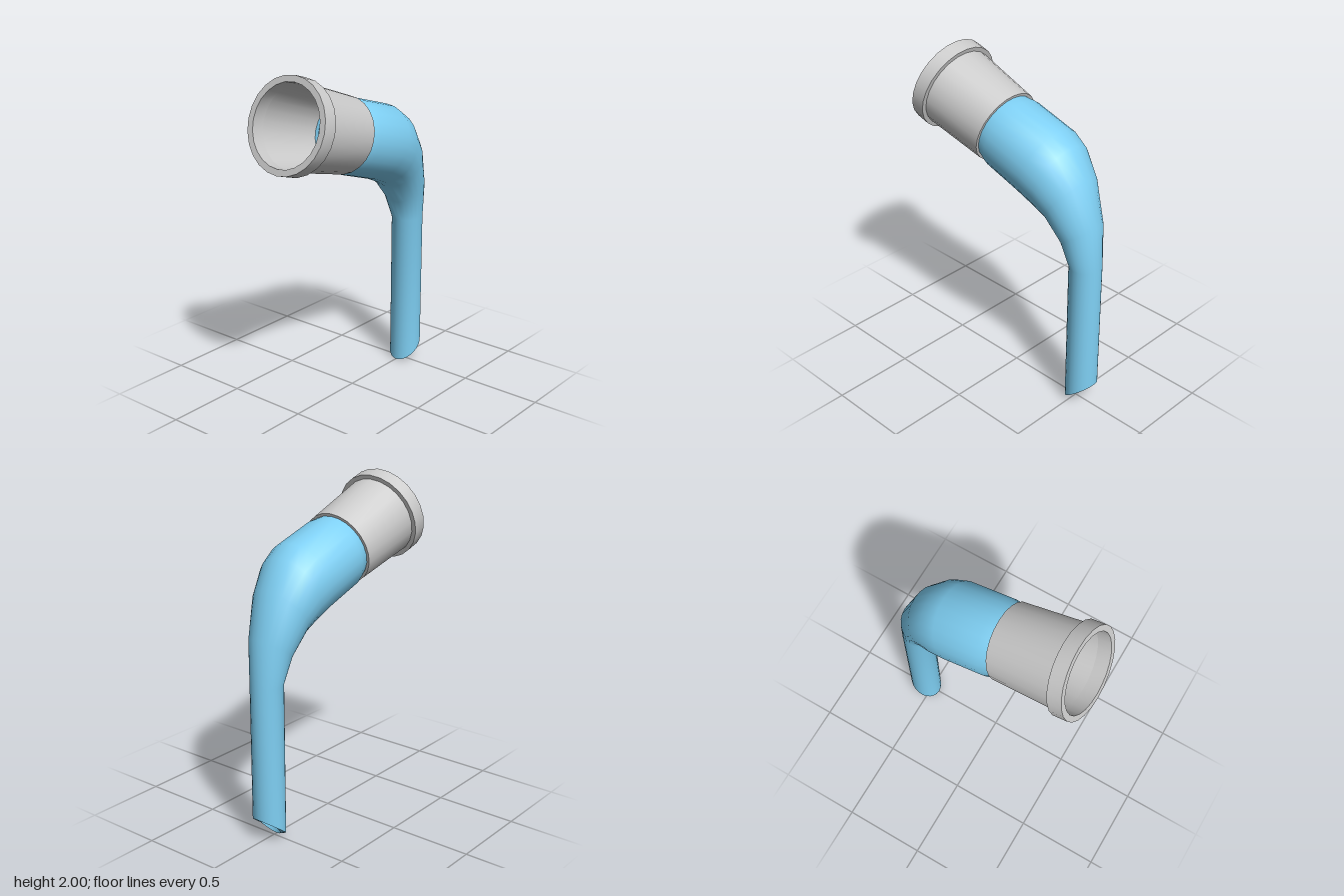
import * as THREE from 'three';
import { toCreasedNormals } from 'three/addons/utils/BufferGeometryUtils.js';

const SIDES = 24;
const WALL = 0.032;

// Closed skin through a loop of elliptical rings; each ring is given by two
// opposite points in the xy plane and its half width in z.
function skinRings(rings) {
  const pos = [], index = [], n = rings.length;
  for (const [x1, y1, x2, y2, r] of rings) {
    for (let j = 0; j < SIDES; j++) {
      const a = (j / SIDES) * Math.PI * 2, c = Math.cos(a) / 2;
      pos.push((x1 + x2) / 2 + (x1 - x2) * c, (y1 + y2) / 2 + (y1 - y2) * c, r * Math.sin(a));
    }
  }
  for (let i = 0; i < n; i++) {
    for (let j = 0; j < SIDES; j++) {
      const k = (j + 1) % SIDES, next = (i + 1) % n;
      const a = i * SIDES + j, b = i * SIDES + k, c = next * SIDES + j, d = next * SIDES + k;
      index.push(a, b, c, b, d, c);
    }
  }
  const geo = new THREE.BufferGeometry();
  geo.setAttribute('position', new THREE.Float32BufferAttribute(pos, 3));
  geo.setIndex(index);
  return toCreasedNormals(geo, 0.7);
}

// Shrinks a ring towards its centre by the wall thickness
function inset([x1, y1, x2, y2, r]) {
  const f = (r - WALL) / r, cx = (x1 + x2) / 2, cy = (y1 + y2) / 2;
  return [cx + (x1 - cx) * f, cy + (y1 - cy) * f, cx + (x2 - cx) * f, cy + (y2 - cy) * f, r - WALL];
}

function turned(name, profile, material) {
  const points = profile.map(([x, y]) => new THREE.Vector2(x, y));
  const mesh = new THREE.Mesh(toCreasedNormals(new THREE.LatheGeometry(points, SIDES), 0.7), material);
  mesh.name = name;
  return mesh;
}

export function createModel() {
  const model = new THREE.Group();
  model.name = 'bentSpout';
  const blue = new THREE.MeshStandardMaterial({ color: 0x7fd0f4 });
  const grey = new THREE.MeshStandardMaterial({ color: 0xcccccc });

  // Bent, tapering hollow pipe: outer side of the bend, inner side, half width
  const outer = [
    [-0.025, 1.795, -0.147, 1.396, 0.209],
    [0.04, 1.787, -0.098, 1.363, 0.225],
    [0.32, 1.703, 0.145, 1.283, 0.227],
    [0.41, 1.64, 0.25, 1.236, 0.214],
    [0.52, 1.48, 0.315, 1.194, 0.182],
    [0.61, 1.22, 0.4, 1.077, 0.133],
    [0.635, 0.95, 0.444, 0.95, 0.096],
  ];
  // Slanted outlet, whose rim stays level from the outer to the inner edge
  const outlet = [
    [0.635, 0.145, 0.444, 0, 0.096],
    [0.602, 0.145, 0.477, 0, 0.063],
  ];
  const pipe = new THREE.Mesh(skinRings([...outer, ...outlet, ...outer.map(inset).reverse()]), blue);
  pipe.name = 'pipe';
  model.add(pipe);

  // Tilted socket: tapered sleeve with a raised lip around its mouth
  const socket = new THREE.Group();
  socket.name = 'socket';
  socket.position.set(-0.086, 1.596, 0);
  socket.rotation.z = 1.272;
  socket.add(
    turned('sleeve', [[0.2, 0], [0.225, 0], [0.246, 0.41], [0.235, 0.41], [0.2, 0]], grey),
    turned('lip', [[0.235, 0.406], [0.272, 0.406], [0.272, 0.494], [0.235, 0.494], [0.235, 0.406]], grey),
  );
  model.add(socket);
  return model;
}
